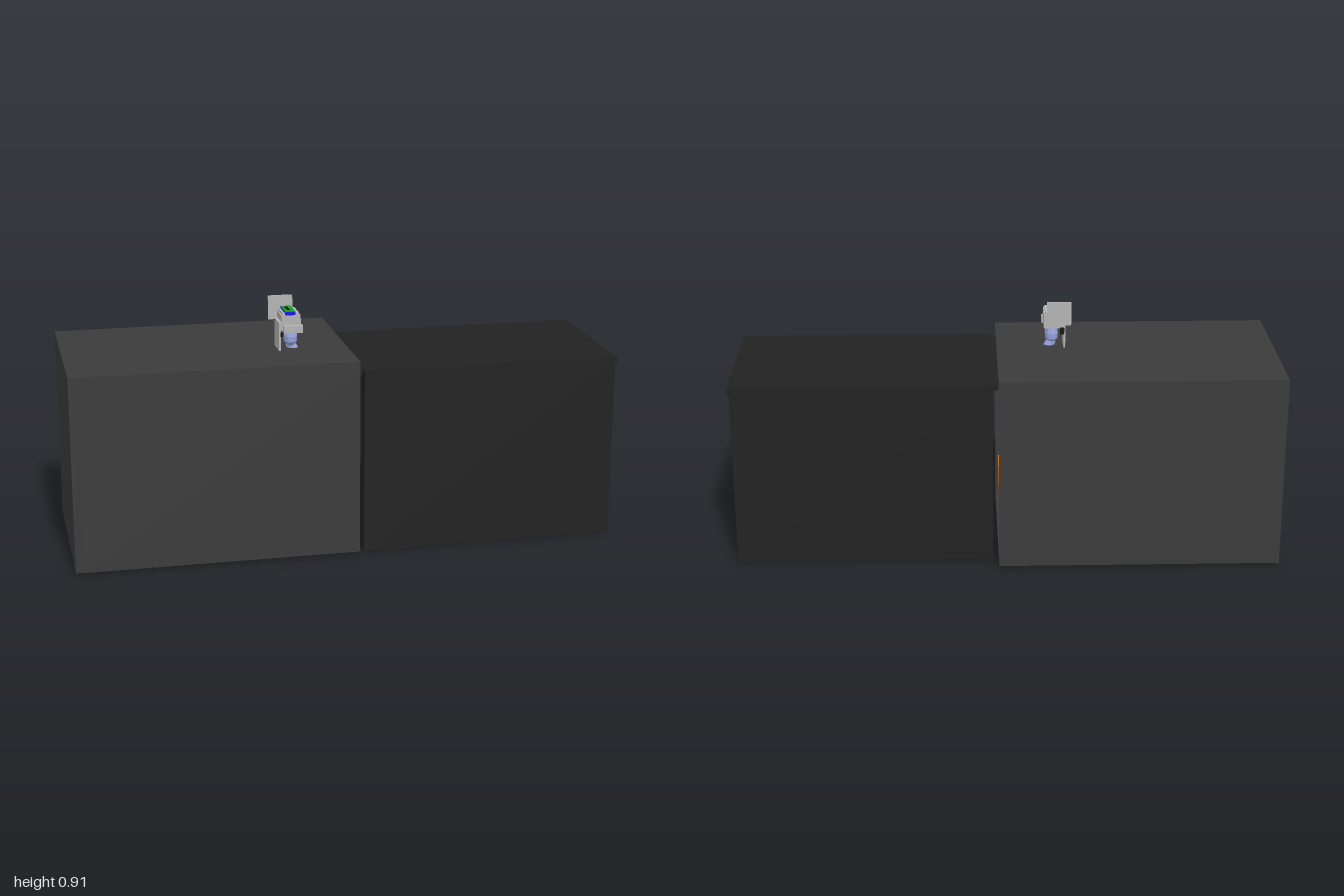
import * as THREE from 'three';

const material = (color) => new THREE.MeshStandardMaterial({ color });
const COVER = material(0x3b3b3b);
const DARK = material(0x222222);
const GREY = material(0xcccccc);
const STEEL = material(0xb4b4b4);
const ARM = material(0x98a4e0);
const ORANGE = material(0xe07a10);
const RED = material(0xc01818);
const BLUE = material(0x1515e0);
const GREEN = material(0x18a018);
const BLACK = material(0x151515);

export function createModel() {
  const model = new THREE.Group();

  // Box given by its limits on each axis
  function box(name, mat, [x0, x1], [y0, y1], [z0, z1], parent = model) {
    const mesh = new THREE.Mesh(new THREE.BoxGeometry(x1 - x0, y1 - y0, z1 - z0), mat);
    mesh.position.set((x0 + x1) / 2, (y0 + y1) / 2, (z0 + z1) / 2);
    mesh.name = name;
    parent.add(mesh);
    return mesh;
  }

  // Tapered round link between two points
  function link(name, mat, a, b, r0, r1, parent) {
    const start = new THREE.Vector3(...a);
    const dir = new THREE.Vector3(...b).sub(start);
    const mesh = new THREE.Mesh(new THREE.CylinderGeometry(r1, r0, dir.length(), 20), mat);
    mesh.position.copy(start).addScaledVector(dir, 0.5);
    mesh.quaternion.setFromUnitVectors(new THREE.Vector3(0, 1, 0), dir.normalize());
    mesh.name = name;
    parent.add(mesh);
  }

  // Large cover, open below and towards the cabinet
  const cover = new THREE.Group();
  cover.name = 'cover';
  model.add(cover);
  box('coverTop', COVER, [-1, 0.03], [0.70, 0.725], [-0.335, 0.335], cover);
  box('coverEnd', COVER, [-1, -0.975], [0.008, 0.70], [-0.335, 0.335], cover);
  for (const s of [-1, 1]) {
    const z = s < 0 ? [-0.335, -0.31] : [0.31, 0.335];
    box('coverSide', COVER, [-0.975, 0.03], [0.008, 0.70], z, cover);
  }
  box('coverSill', COVER, [-0.01, 0.03], [0.008, 0.02], [-0.31, 0.31], cover);
  box('basePlate', GREY, [-0.97, -0.005], [0, 0.03], [-0.305, 0.305]);

  // Neighbouring cabinet and its overhanging lid
  box('cabinet', DARK, [0.05, 0.992], [0.002, 0.685], [-0.26, 0.315]);
  box('cabinetLid', DARK, [0.03, 1], [0.66, 0.684], [-0.235, 0.285]);
  box('cabinetEndLip', DARK, [0.99, 1], [0.66, 0.684], [-0.26, 0.315]);
  box('cornerBlock', GREY, [0.0, 0.028], [0.0, 0.025], [-0.28, -0.25]);

  // Work table and fittings inside the opening
  box('workTable', STEEL, [-0.3, 0.0], [0.03, 0.09], [-0.28, 0.28]);
  box('frontFitting', ORANGE, [-0.08, 0.02], [0.09, 0.2], [-0.26, 0.26]);
  box('tray', GREY, [-0.12, 0.01], [0.2, 0.24], [-0.24, 0.24]);
  box('signal', RED, [-0.06, 0.0], [0.46, 0.51], [0.18, 0.25]);

  // Robot arm rising through the cover
  const arm = new THREE.Group();
  arm.name = 'robotArm';
  model.add(arm);
  link('armBase', ARM, [-0.18, 0.09, 0], [-0.18, 0.24, 0], 0.09, 0.07, arm);
  link('shoulder', ARM, [-0.18, 0.28, -0.08], [-0.18, 0.28, 0.1], 0.065, 0.065, arm);
  link('upperArm', ARM, [-0.18, 0.28, 0.06], [-0.06, 0.50, 0.07], 0.05, 0.04, arm);
  link('elbow', ARM, [-0.06, 0.5, 0.02], [-0.06, 0.5, 0.12], 0.05, 0.05, arm);
  link('foreArm', ARM, [-0.06, 0.5, 0.075], [-0.175, 0.74, 0.08], 0.035, 0.018, arm);

  // Faceted wrist
  const wristProfile = [[0, 0.732], [0.016, 0.735], [0.028, 0.75], [0.03, 0.77], [0.024, 0.8], [0, 0.8]];
  const wristGeometry = new THREE.LatheGeometry(wristProfile.map((p) => new THREE.Vector2(...p)), 10);
  const wristMaterial = ARM.clone();
  wristMaterial.flatShading = true;
  const wrist = new THREE.Mesh(wristGeometry, wristMaterial);
  wrist.name = 'wrist';
  wrist.scale.x = 0.85;
  wrist.position.set(-0.175, 0, 0.083);
  arm.add(wrist);

  // Gripper carrying a small board
  const gripper = new THREE.Group();
  gripper.name = 'gripper';
  model.add(gripper);
  box('gripperBody', STEEL, [-0.215, -0.145], [0.8, 0.855], [0.035, 0.13], gripper);
  box('gripperRim', STEEL, [-0.21, -0.15], [0.855, 0.863], [0.032, 0.125], gripper);
  box('frontFlange', STEEL, [-0.21, -0.14], [0.793, 0.82], [0.12, 0.146], gripper);
  box('sidePlate', STEEL, [-0.225, -0.218], [0.72, 0.83], [0.037, 0.128], gripper);
  box('plateBracket', STEEL, [-0.225, -0.21], [0.8, 0.83], [0.04, 0.125], gripper);
  box('blueLayer', BLUE, [-0.202, -0.163], [0.855, 0.866], [0.031, 0.126], gripper);
  box('board', GREEN, [-0.2, -0.165], [0.864, 0.871], [0.042, 0.12], gripper);
  for (let i = 0; i < 4; i++) {
    const z = 0.05 + i * 0.018;
    box('boardChip', BLACK, [-0.192, -0.18], [0.871, 0.873], [z, z + 0.006], gripper);
  }
  box('frontTab', BLACK, [-0.22, -0.21], [0.78, 0.795], [0.132, 0.14], gripper);
  box('rearTab', BLACK, [-0.22, -0.205], [0.78, 0.805], [0.024, 0.033], gripper);
  box('rearPanel', STEEL, [-0.245, -0.155], [0.818, 0.907], [0.017, 0.022], gripper);

  return model;
}
